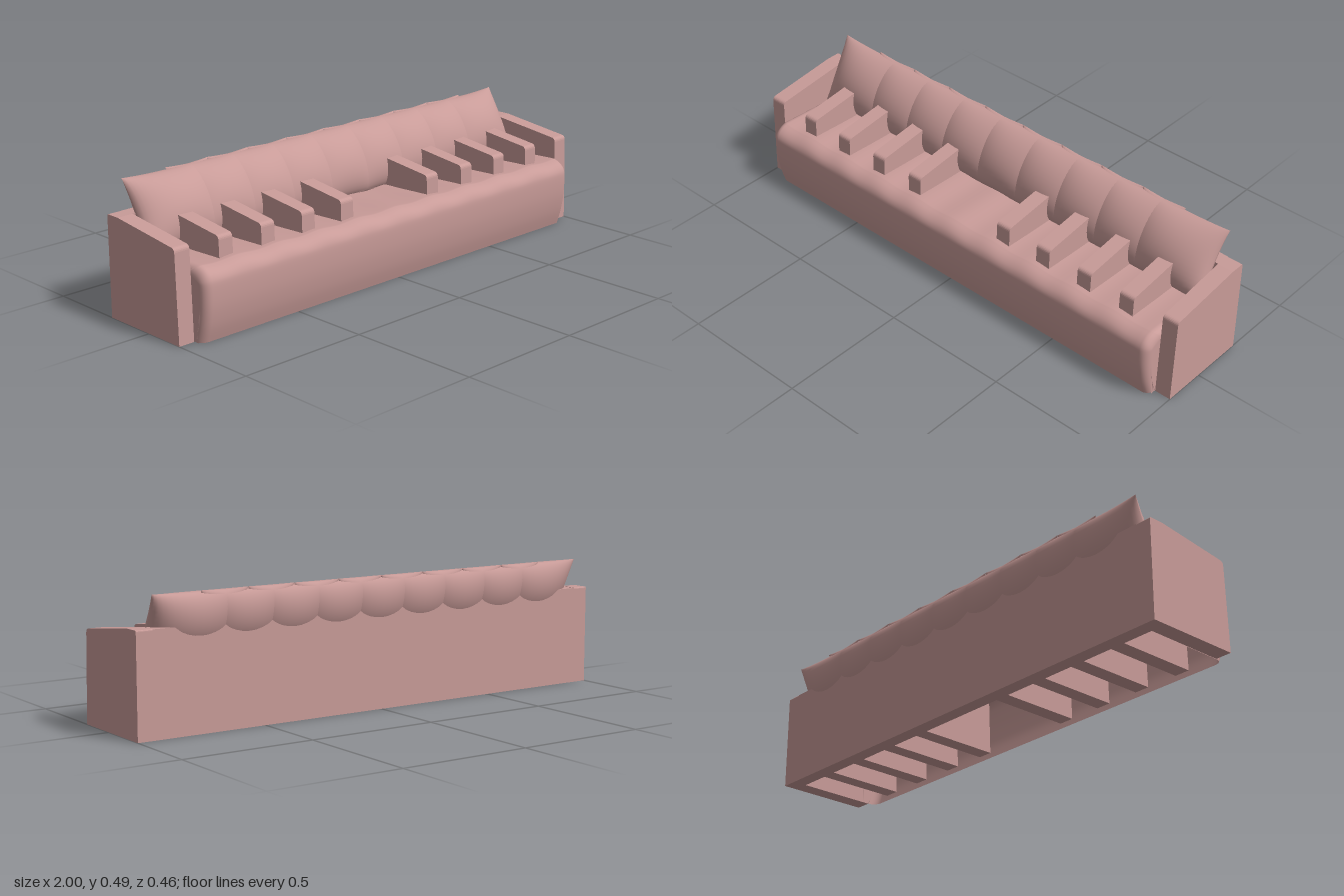
import * as THREE from 'three';

const fabric = new THREE.MeshStandardMaterial({ color: 0xc89b98, side: THREE.DoubleSide });
fabric.name = 'dusty pink fabric';

const add = (parent, name, geometry) => {
  const mesh = new THREE.Mesh(geometry, fabric);
  mesh.name = name;
  parent.add(mesh);
  return mesh;
};

// Side panel with a sloping top, drawn in z/y and centred on x = 0
function armGeometry(width) {
  const s = new THREE.Shape();
  s.moveTo(-0.208, 0);
  s.lineTo(0.163, 0);
  s.lineTo(0.153, 0.325);
  s.quadraticCurveTo(0.152, 0.339, 0.138, 0.341);
  s.lineTo(-0.15, 0.376);
  s.lineTo(-0.203, 0.376);
  s.quadraticCurveTo(-0.208, 0.376, -0.208, 0.37);
  s.closePath();
  const g = new THREE.ExtrudeGeometry(s, { depth: width, bevelEnabled: false, curveSegments: 5 });
  g.translate(0, 0, -width / 2);
  g.rotateY(-Math.PI / 2);
  return g;
}

// Seat shell: one bulging profile swept along x, rounded in at both ends, open below
function seatGeometry() {
  const front = new THREE.SplineCurve([
    [0.198, 0], [0.215, 0.06], [0.226, 0.13], [0.228, 0.2], [0.222, 0.23],
    [0.205, 0.25], [0.18, 0.262], [0.15, 0.264], [0, 0.258], [-0.16, 0.255],
  ].map(([z, y]) => new THREE.Vector2(z, y))).getPoints(36);
  const half = 0.935, r = 0.032, sections = [];
  const end = [];
  for (let i = 0; i <= 6; i++) {
    const a = (i / 6) * Math.PI / 2;
    end.push([half - r + r * Math.cos(a), r * (1 - Math.sin(a))]);
  }
  sections.push([-half, 1]);
  end.forEach(([x, inset]) => sections.push([-x, inset]));
  for (let i = 1; i < 80; i++) sections.push([(half - r) * (i / 40 - 1), 0]);
  end.reverse().forEach(([x, inset]) => sections.push([x, inset]));
  sections.push([half, 1]);

  const pos = [], index = [], n = front.length;
  sections.forEach(([x, inset], i) => {
    front.forEach((p, j) => {
      const top = THREE.MathUtils.smoothstep(p.y, 0.2, 0.26);
      const scallop = 0.003 * top * Math.cos((x / 0.1875) * Math.PI * 2);
      if (inset === 1) pos.push(x, 0, p.x * 0.8);       // end cap collapses to the floor line
      else pos.push(x, Math.max(0, p.y - inset * top + scallop), p.x - inset * (p.x > 0.16 ? 1 : 0));
      if (i && j) {
        const a = (i - 1) * n + j - 1, b = a + n;
        index.push(a, b, a + 1, b, b + 1, a + 1);
      }
    });
  });
  const g = new THREE.BufferGeometry();
  g.setAttribute('position', new THREE.Float32BufferAttribute(pos, 3));
  g.setIndex(index);
  g.computeVertexNormals();
  return g;
}

// Half a pillow: a plane pushed out into a cushion with pointed corners
function pillowHalf(side) {
  const g = new THREE.PlaneGeometry(2, 2, 20, 20);
  const p = g.attributes.position;
  for (let i = 0; i < p.count; i++) {
    const u = Math.sin(p.getX(i) * Math.PI / 2), v = Math.sin(p.getY(i) * Math.PI / 2);
    const cu = Math.max(0, 1 - u * u), cv = Math.max(0, 1 - v * v);
    p.setXYZ(i,
      0.1875 * u * (1 - 0.07 * cv),
      0.14 * v * (1 - 0.05 * cu),
      0.076 * Math.pow(cu, 0.5) * Math.pow(cv, 0.6));
  }
  if (side < 0) g.rotateY(Math.PI);
  g.computeVertexNormals();
  return g;
}

export function createModel() {
  const sofa = new THREE.Group();
  sofa.name = 'sofa';

  add(sofa, 'seat', seatGeometry());

  // Back panel between the end arms
  add(sofa, 'backPanel', new THREE.BoxGeometry(1.874, 0.375, 0.055)).position.set(0, 0.1875, -0.1805);

  // End arms and the narrow dividers rising through the seat
  const endArm = armGeometry(0.063), divider = armGeometry(0.06);
  for (const side of [-1, 1]) {
    add(sofa, side > 0 ? 'leftArm' : 'rightArm', endArm).position.x = side * 0.9685;
    for (let i = 0; i < 4; i++) add(sofa, 'divider', divider).position.x = side * (0.221 + i * 0.1875);
  }

  // Row of overlapping back pillows leaning on the panel
  const halves = [pillowHalf(1), pillowHalf(-1)];
  for (let i = 0; i < 9; i++) {
    const pillow = new THREE.Group();
    pillow.name = 'backPillow';
    halves.forEach((g, k) => add(pillow, k ? 'pillowBack' : 'pillowFront', g));
    pillow.position.set((i - 4) * 0.1875, 0.367, -0.138);
    pillow.rotation.x = -0.495;
    sofa.add(pillow);
  }
  return sofa;
}
